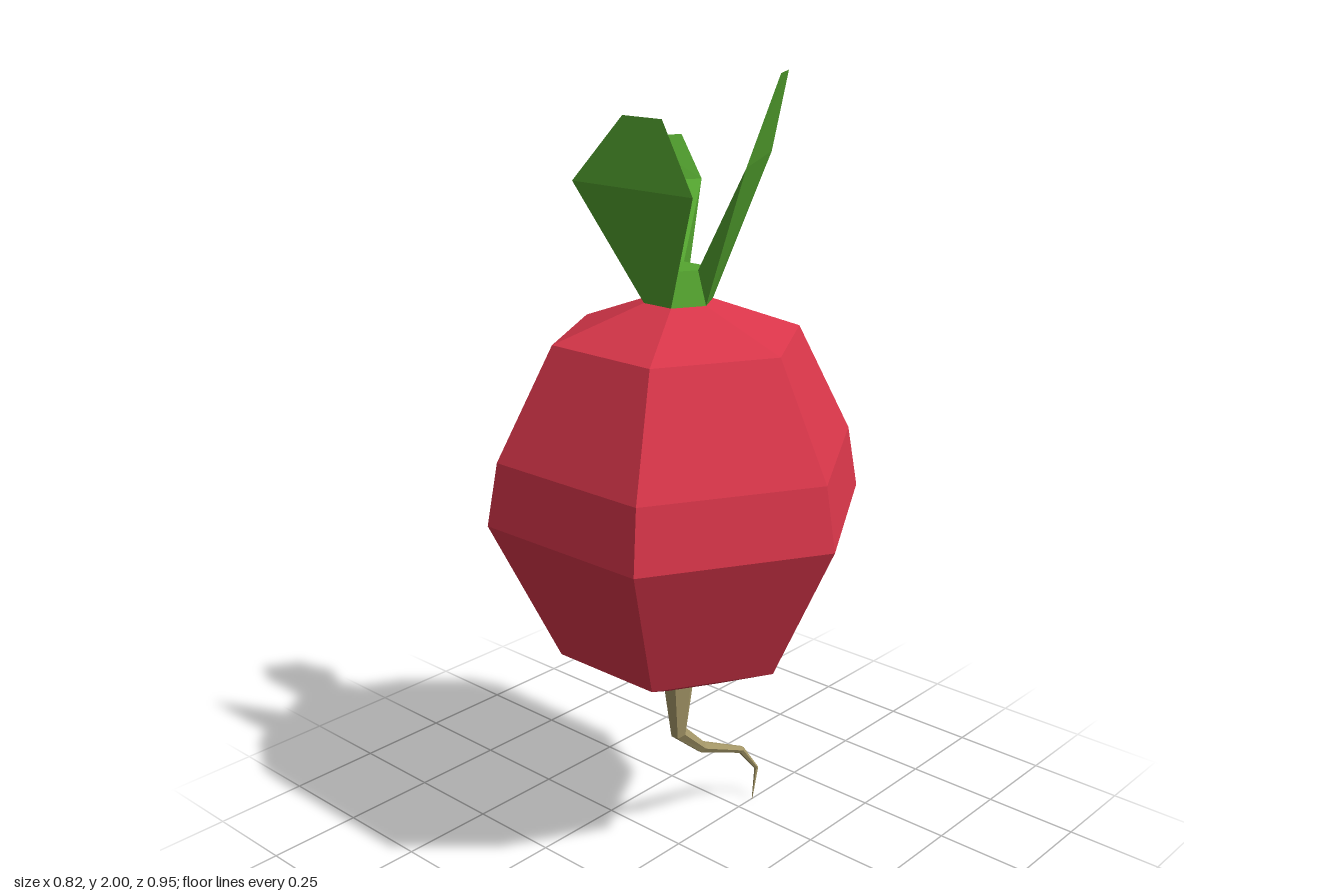
import * as THREE from 'three';

const red = new THREE.MeshStandardMaterial({ color: 0xd9364a, flatShading: true });
const green = new THREE.MeshStandardMaterial({ color: 0x55a630, flatShading: true, side: THREE.DoubleSide });
const tan = new THREE.MeshStandardMaterial({ color: 0xa89a6a, flatShading: true });

const SIDES = 6;

function addMesh(group, name, geometry, material) {
  const flat = geometry.index ? geometry.toNonIndexed() : geometry;
  flat.computeVertexNormals();
  const mesh = new THREE.Mesh(flat, material);
  mesh.name = name;
  group.add(mesh);
}

// Six-sided turned shape from [radius, height] pairs, bottom to top
const turned = (profile) =>
  new THREE.LatheGeometry(profile.map(([r, y]) => new THREE.Vector2(r, y)), SIDES);

// Leaf growing out of one side of the crown, with a thick base and a thin tip.
// mid and tip each hold two corners; y heights are shared by both corners.
function leafGeometry(side, mid, midY, tip, tipY) {
  const corner = (i, r, y) => {
    const a = (i * Math.PI * 2) / SIDES;
    return [Math.sin(a) * r, y, Math.cos(a) * r];
  };
  const at = (list, y) => list.map(([x, z]) => [x, y, z]);
  const [o0, o1] = [corner(side, 0.085, 1.475), corner(side + 1, 0.085, 1.475)];
  const [i0, i1] = [corner(side, 0.06, 1.555), corner(side + 1, 0.06, 1.555)];
  const [m0, m1] = at(mid, midY);
  const [t0, t1] = at(tip, tipY);
  const quad = (a, b, c, d) => [a, b, c, a, c, d];
  const corners = [
    ...quad(o0, o1, m1, m0), // outer face
    ...quad(i1, i0, m0, m1), // inner face
    i0, o0, m0, o1, i1, m1,  // side edges
    ...quad(m0, m1, t1, t0), // thin tip
  ];
  const geometry = new THREE.BufferGeometry();
  geometry.setAttribute('position', new THREE.Float32BufferAttribute(corners.flat(), 3));
  return geometry;
}

// Bent taproot: rings of [x, y, radius, tilt] joined into a tapering tube
function rootGeometry() {
  const rings = [
    [0, 0.48, 0.04, 0],
    [0.001, 0.335, 0.022, 0.5],
    [0.09, 0.255, 0.016, 1.05],
    [0.255, 0.178, 0.01, 0.85],
    [0.324, 0.092, 0.006, 0.2],
    [0.308, 0, 0.001, 0],
  ];
  const positions = [];
  const index = [];
  rings.forEach(([x, y, r, tilt], j) => {
    for (let i = 0; i < SIDES; i++) {
      const a = (i * Math.PI * 2) / SIDES;
      const u = Math.sin(a) * r;
      positions.push(x + u * Math.cos(tilt), y + u * Math.sin(tilt), Math.cos(a) * r);
      if (j === 0) continue;
      const n = (i + 1) % SIDES;
      const [a0, a1] = [(j - 1) * SIDES + i, (j - 1) * SIDES + n];
      const [b0, b1] = [j * SIDES + i, j * SIDES + n];
      index.push(a0, b0, b1, a0, b1, a1);
    }
  });
  const geometry = new THREE.BufferGeometry();
  geometry.setAttribute('position', new THREE.Float32BufferAttribute(positions, 3));
  geometry.setIndex(index);
  return geometry;
}

export function createModel() {
  const group = new THREE.Group();
  group.name = 'rootVegetable';

  // Faceted bulb
  addMesh(group, 'bulb', turned([
    [0, 0.476], [0.04, 0.478], [0.13, 0.52], [0.305, 0.605], [0.475, 0.965],
    [0.447, 1.12], [0.307, 1.392], [0.085, 1.475],
  ]), red);

  // Short crown the leaves grow from
  addMesh(group, 'crown', turned([[0.085, 1.475], [0.06, 1.555], [0, 1.555]]), green);

  // Three leaves on alternate sides of the crown
  addMesh(group, 'frontLeaf', leafGeometry(0,
    [[-0.05, 0.24], [0.2, 0.11]], 1.81, [[0.07, 0.235], [0.155, 0.19]], 2), green);
  addMesh(group, 'backLeaf', leafGeometry(2,
    [[0.2, -0.105], [0.025, -0.205]], 1.725, [[0.172, -0.145], [0.07, -0.2]], 1.83), green);
  addMesh(group, 'rightLeaf', leafGeometry(4,
    [[-0.178, -0.165], [-0.178, 0.2]], 1.757, [[-0.15, -0.032], [-0.15, 0.086]], 1.91), green);

  // Thin crooked root
  addMesh(group, 'taproot', rootGeometry(), tan);

  return group;
}
